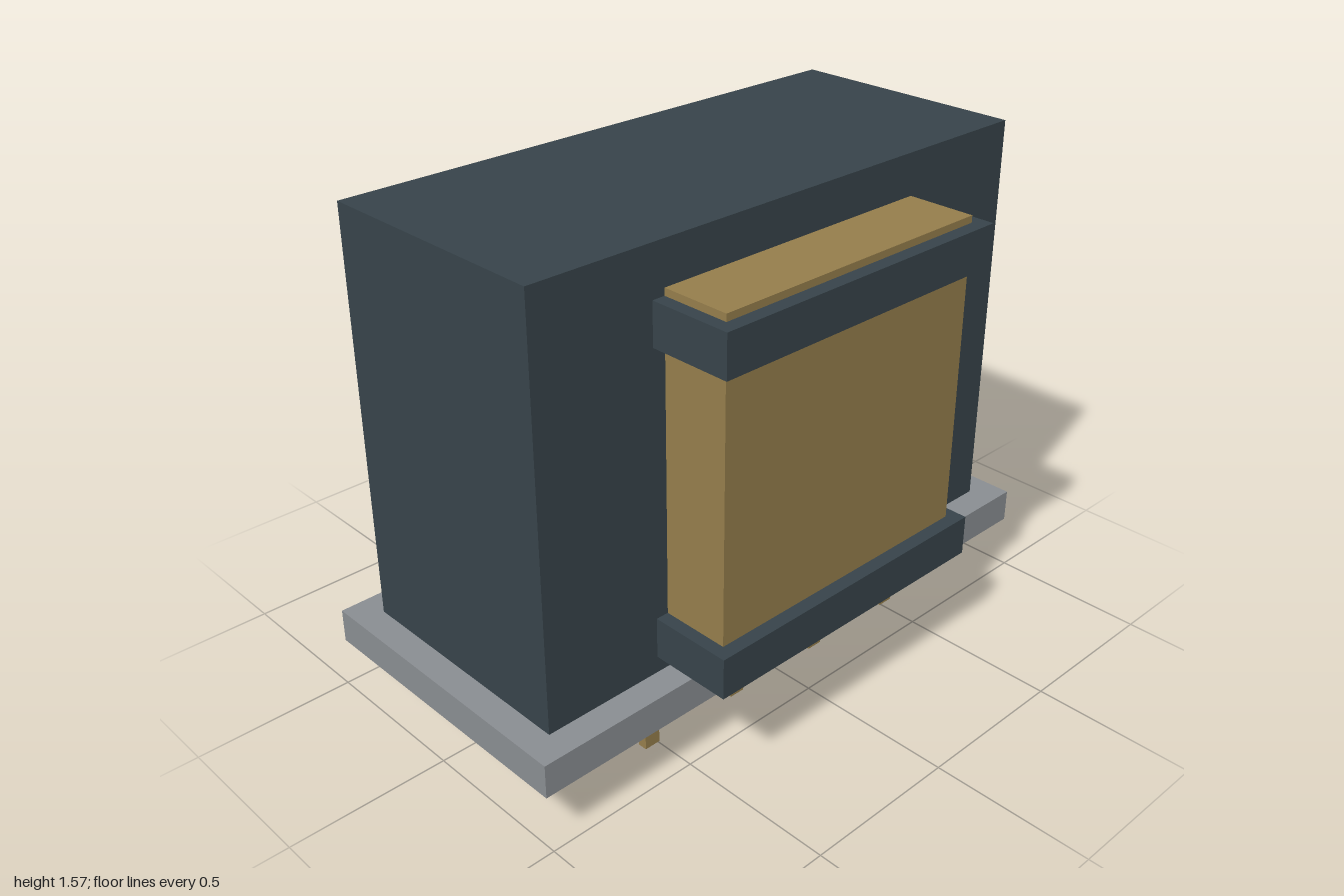
import * as THREE from 'three';

const mat = (name, color) => {
  const m = new THREE.MeshStandardMaterial({ color });
  m.name = name;
  return m;
};

export function createModel() {
  const model = new THREE.Group();
  model.name = 'transformer';
  const darkIron = mat('darkIron', 0x37434a);
  const brass = mat('brass', 0x947d4b);
  const grey = mat('grey', 0x898d91);

  // Box centred on x and z offsets, spanning y0 to y1
  const box = (name, material, w, d, y0, y1, x = 0, z = 0) => {
    const mesh = new THREE.Mesh(new THREE.BoxGeometry(w, y1 - y0, d), material);
    mesh.name = name;
    mesh.position.set(x, (y0 + y1) / 2, z);
    model.add(mesh);
  };

  // Mounting base and iron core
  box('base', grey, 2, 0.96, 0.17, 0.277);
  box('core', darkIron, 1.824, 0.78, 0.277, 1.568);

  // Coil passing through the core, held by two bobbin flanges
  box('winding', brass, 0.96, 1.216, 0.307, 1.437);
  box('lowerFlange', darkIron, 1.042, 1.304, 0.33, 0.459);
  box('upperFlange', darkIron, 1.042, 1.304, 1.285, 1.415);

  // Row of flat terminal pins along the front edge
  for (let i = 0; i < 4; i++) {
    box('pin' + (i + 1), brass, 0.053, 0.03, 0, 0.18, (i - 1.5) * 0.348, 0.35);
  }
  return model;
}
